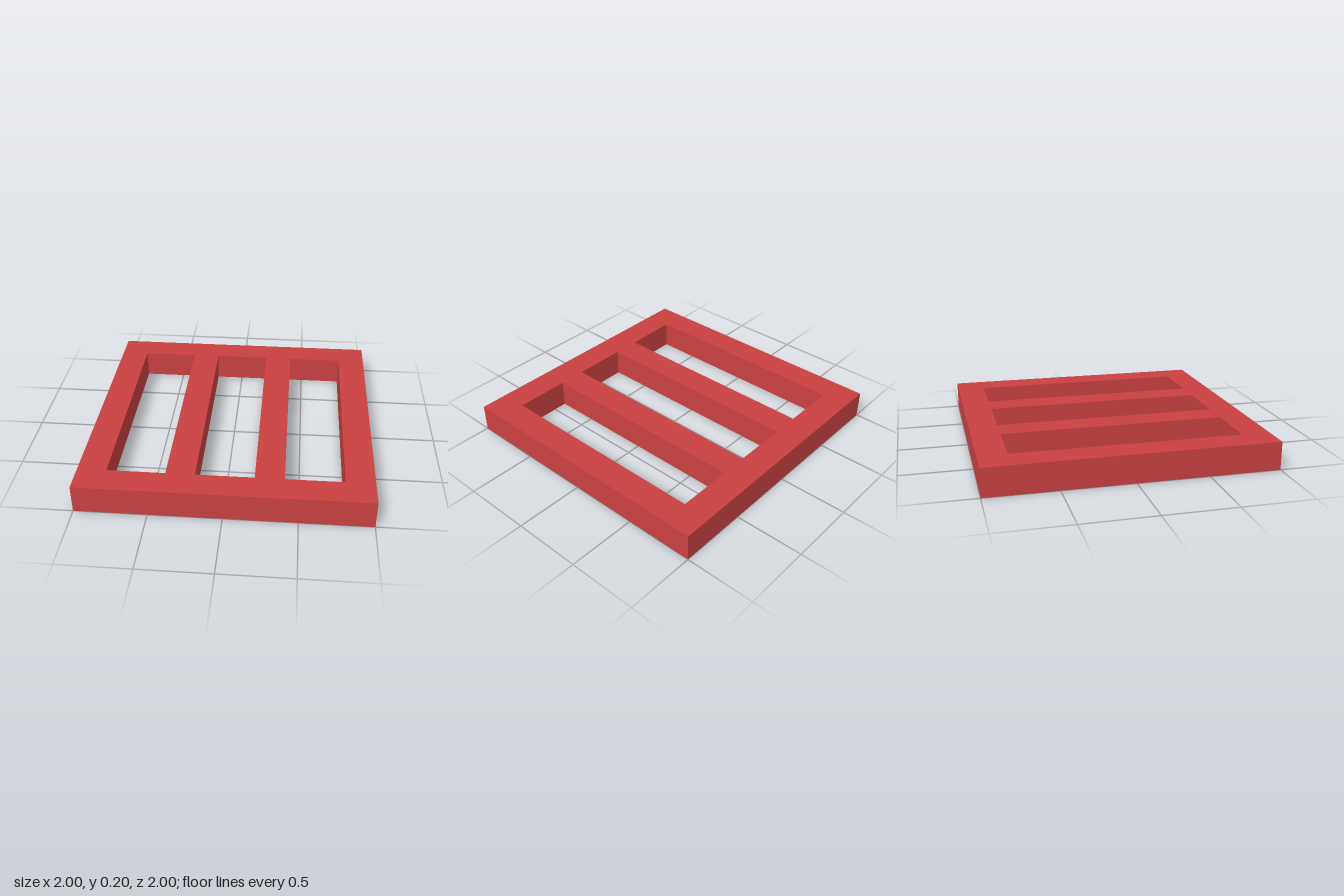
import * as THREE from 'three';

// Counter-clockwise rectangle outline centred on (cx, 0)
function rectangle(PathType, cx, width, height) {
  const w = width / 2, h = height / 2;
  return new PathType([
    new THREE.Vector2(cx - w, -h),
    new THREE.Vector2(cx + w, -h),
    new THREE.Vector2(cx + w, h),
    new THREE.Vector2(cx - w, h),
  ]);
}

export function createModel() {
  const group = new THREE.Group();
  group.name = 'slottedFrame';

  const red = new THREE.MeshStandardMaterial({ color: 0xc94141 });
  red.name = 'red';

  // Square slab with three long slots, leaving a border and two bars
  const outline = rectangle(THREE.Shape, 0, 2, 2);
  for (const x of [-0.6, 0, 0.6]) {
    outline.holes.push(rectangle(THREE.Path, x, 0.4, 1.6));
  }

  // Extruded upward from the ground
  const geometry = new THREE.ExtrudeGeometry(outline, { depth: 0.2, bevelEnabled: false });
  geometry.rotateX(-Math.PI / 2);

  const frame = new THREE.Mesh(geometry, red);
  frame.name = 'frameWithBars';
  group.add(frame);
  return group;
}
